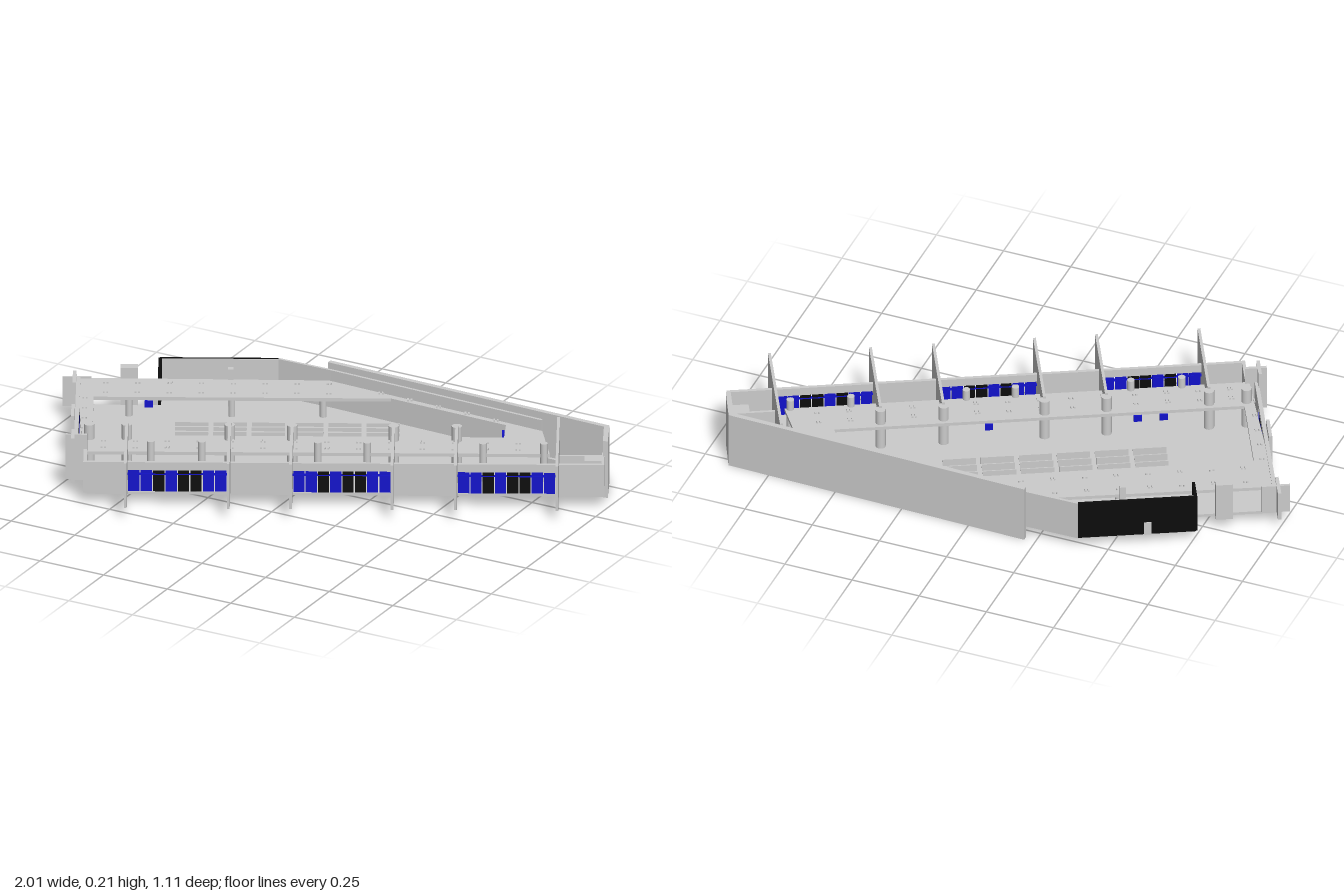
import * as THREE from 'three';

const grey = new THREE.MeshStandardMaterial({ color: 0xcccccc, side: THREE.DoubleSide });
const blue = new THREE.MeshStandardMaterial({ color: 0x1212cc });
const black = new THREE.MeshStandardMaterial({ color: 0x0c0c0c });

const FLOOR = 0.045, DECK = 0.15, TOP = 0.213, WALL = 0.16, DOOR = 0.13;
const ANGLE = 0.485; // turn of the hall on its site

export function createModel() {
  const model = new THREE.Group();
  model.name = 'terminalLevel';
  const hall = new THREE.Group();
  hall.name = 'hall';
  hall.rotation.y = ANGLE;
  model.add(hall);

  const add = (name, geo, mat = grey, parent = hall) => {
    const m = new THREE.Mesh(geo, mat);
    m.name = name;
    parent.add(m);
    return m;
  };
  // axis-aligned box given by its limits
  const box = (name, x0, x1, y0, y1, z0, z1, mat = grey) =>
    add(name, new THREE.BoxGeometry(x1 - x0, y1 - y0, z1 - z0), mat)
      .position.set((x0 + x1) / 2, (y0 + y1) / 2, (z0 + z1) / 2);
  // straight wall between two plan points
  const wall = (name, a, b, y0, y1, t = 0.01, mat = grey) => {
    const dx = b[0] - a[0], dz = b[1] - a[1];
    const m = add(name, new THREE.BoxGeometry(Math.hypot(dx, dz), y1 - y0, t), mat);
    m.position.set((a[0] + b[0]) / 2, (y0 + y1) / 2, (a[1] + b[1]) / 2);
    m.rotation.y = -Math.atan2(dz, dx);
  };
  // plan outline raised from y0 to y1, with optional openings
  const slab = (name, pts, y0, y1, holes = [], parent = hall) => {
    const path = p => p.map(([x, z]) => new THREE.Vector2(x, -z));
    const shape = new THREE.Shape(path(pts));
    holes.forEach(h => shape.holes.push(new THREE.Path(path(h))));
    const geo = new THREE.ExtrudeGeometry(shape, { depth: y1 - y0, bevelEnabled: false });
    geo.rotateX(-Math.PI / 2).translate(0, y0, 0);
    add(name, geo, grey, parent);
  };
  const column = (name, x, z, r, y1) =>
    add(name, new THREE.CylinderGeometry(r, r, y1 - FLOOR, 16)).position.set(x, (y1 + FLOOR) / 2, z);

  // main floor, open beside the right end
  slab('floor', [[-0.8, -0.57], [-0.515, -0.57], [-0.515, -0.655], [-0.107, -0.655], [0.08, -0.56],
    [1.02, -0.045], [1.03, 0.168], [-0.755, 0.168], [-0.755, 0.05], [-0.8, 0.05]], FLOOR - 0.005, FLOOR + 0.005,
    [[[0.813, -0.145], [0.862, -0.118], [0.862, 0.05], [0.84, 0.055]]]);

  // gallery deck around the open hall
  const openings = [[-0.74, -0.41], [0.286, -0.41], [0.685, -0.19], [0.68, -0.085], [-0.74, -0.085]];
  slab('galleryDeck', [[-0.8, -0.57], [0.08, -0.56], [0.81, -0.148], [0.84, 0.055], [-0.77, 0.055]],
    DECK - 0.012, DECK, [openings]);

  // front screens between and beside the door bays
  const fins = [-0.62, -0.265, -0.05, 0.3, 0.518, 0.868];
  const F0 = 0.156, F1 = 0.168;
  box('frontLintel', -0.755, 1.03, DOOR, WALL, F0, F1);
  [[-0.755, fins[0]], [fins[1], fins[2]], [fins[3], fins[4]], [fins[5], 1.03]]
    .forEach(([a, b]) => box('frontWall', a, b, FLOOR, DOOR, F0, F1));

  // a row of blue and black door leaves with thin gaps
  const leaves = 'bbkbkkbb';
  const doorRow = (a, b, place) => {
    const w = (b - a) / leaves.length;
    [...leaves].forEach((c, i) => place(a + i * w + 0.002, a + (i + 1) * w - 0.002, c === 'b' ? blue : black));
  };
  [0, 2, 4].forEach(i => {
    doorRow(fins[i] + 0.006, fins[i + 1] - 0.006, (a, b, m) => box('frontDoor', a, b, FLOOR, DOOR, F0 + 0.002, F1 - 0.002, m));
    box('doorTransom', fins[i], fins[i + 1], 0.112, 0.116, F0 + 0.001, F1 - 0.001, blue);
  });

  // tall fins projecting through the front
  fins.forEach((x, i) => box('frontFin', x - 0.005, x + 0.005, FLOOR, TOP, i === 5 ? -0.12 : -0.05, 0.3));

  // left end: doors under a lintel, corner panels and side screens
  doorRow(-0.56, -0.28, (a, b, m) => box('endDoor', -0.798, -0.788, FLOOR, DOOR, a, b, m));
  doorRow(-0.24, -0.08, (a, b, m) => box('endDoor', -0.798, -0.788, FLOOR, DOOR, a, b, m));
  box('endLintel', -0.802, -0.788, DOOR, DECK + 0.005, -0.57, 0.05);
  box('endWall', -0.802, -0.788, FLOOR, DOOR, -0.28, -0.24);
  box('endWall', -0.802, -0.788, FLOOR, DOOR, -0.08, 0.05);
  box('endPanel', -0.85, -0.75, FLOOR, 0.155, -0.575, -0.565);
  box('endPanel', -0.815, -0.803, FLOOR, 0.155, -0.62, -0.52);
  box('endPanel', -0.815, -0.803, FLOOR, 0.17, -0.3, -0.2);
  box('cornerPanel', -0.83, -0.755, FLOOR, TOP, 0.045, 0.057);
  box('cornerPanel', -0.81, -0.798, FLOOR, TOP, 0.01, 0.09);
  box('sideWall', -0.767, -0.755, FLOOR, WALL, 0.05, F1);

  // right end walls
  box('rightEndWall', 1.02, 1.03, FLOOR, 0.155, 0.05, F1);
  box('rightCrossWall', 0.868, 1.02, FLOOR, 0.145, 0.048, 0.058);
  box('rightLobby', 0.96, 1.02, FLOOR, 0.145, 0.058, 0.1);

  // back annex with a black cladding
  wall('annexCladding', [-0.515, -0.655], [-0.107, -0.655], FLOOR, 0.19, 0.01, black);
  wall('annexCladding', [-0.515, -0.655], [-0.515, -0.57], FLOOR, 0.19, 0.01, black);
  wall('annexLining', [-0.508, -0.648], [-0.107, -0.648], FLOOR, 0.19, 0.004);
  box('annexDoor', -0.36, -0.335, FLOOR, 0.095, -0.664, -0.66);
  wall('annexWall', [-0.107, -0.655], [0.08, -0.56], FLOOR, 0.19);
  wall('backWall', [0.08, -0.56], [0.81, -0.148], FLOOR, 0.19);
  box('backPost', -0.65, -0.59, FLOOR, 0.19, -0.6, -0.565);
  box('backPost', -0.28, -0.26, FLOOR, 0.19, -0.58, -0.56);

  // columns: a heavy row behind the fins and a light row at the deck edge
  [-0.75, ...fins.slice(0, 5)].forEach(x => column('mainColumn', x, -0.057, 0.018, 0.205));
  [-0.536, -0.36, 0.04, 0.21, 0.61, 0.82].forEach(x => column('edgeColumn', x, 0.052, 0.013, 0.19));
  [-0.62, -0.265, 0.05].forEach(x => column('backColumn', x, -0.48, 0.012, DECK));

  // rows of benches on the hall floor
  for (let r = 0; r < 5; r++) for (let c = 0; c < 6; c++) {
    const x = -0.458 + c * 0.132, z = -0.36 + r * 0.041;
    box('benchSeat', x, x + 0.115, 0.058, 0.064, z, z + 0.014);
    box('benchBack', x, x + 0.115, FLOOR, 0.078, z - 0.004, z);
  }

  // paired deck fittings along the gallery
  const fitting = (x, z) => [-0.006, 0.006].forEach(d =>
    box('deckFitting', x + d - 0.003, x + d + 0.003, DECK, DECK + 0.006, z - 0.008, z + 0.008));
  for (let i = 0; i < 14; i++) {
    const x = -0.7 + i * 0.11;
    fitting(x, 0.02);
    fitting(x, -0.035);
    if (i < 8) { fitting(x, -0.45); fitting(x, -0.53); }
  }
  for (let i = 0; i < 5; i++) {
    fitting(-0.77, -0.4 + i * 0.085);
    fitting(0.25 + i * 0.1, -0.45 + i * 0.056);
  }

  // small blue signs below the inner deck edge
  [[-0.55, -0.41], [-0.46, -0.085], [-0.37, -0.085], [0.145, -0.085]]
    .forEach(([x, z]) => box('hallSign', x - 0.014, x + 0.014, 0.112, 0.136, z - 0.004, z + 0.004, blue));
  box('hallSign', 0.672, 0.68, 0.112, 0.136, -0.18, -0.15, blue);

  // retaining wall along the site edge, returning at the right
  slab('retainingWall', [[-0.21, -0.556], [0.9, -0.532], [0.96, -0.41], [0.944, -0.404], [0.888, -0.514], [-0.21, -0.538]],
    0, TOP, [], model);
  return model;
}
